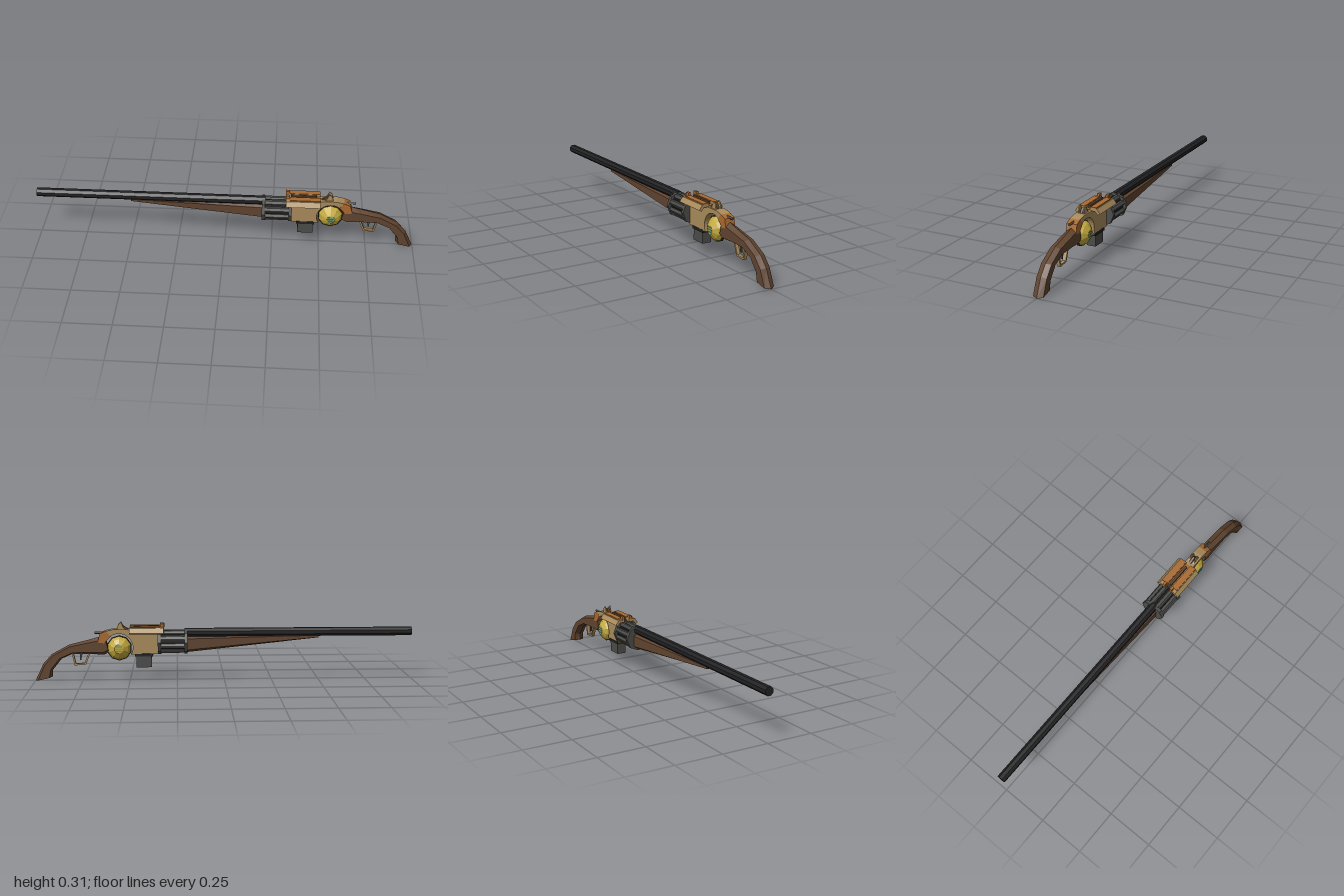
import * as THREE from 'three';

const mat = (name, color) => {
  const m = new THREE.MeshStandardMaterial({ color, flatShading: true });
  m.name = name;
  return m;
};

export function createModel() {
  const model = new THREE.Group();
  model.name = 'rifle';
  const black = mat('blackSteel', 0x222224);
  const gray = mat('gunmetal', 0x4c4c4a);
  const tan = mat('tanMetal', 0xa98b5c);
  const wood = mat('brownWood', 0x60442f);
  const rust = mat('rust', 0xaa6a30);
  const dark = mat('darkBrown', 0x3e2d20);
  const yellow = mat('yellowGlass', 0xc2a93e);
  const teal = mat('teal', 0x3fa39c);

  const add = (name, geo, material, x = 0, y = 0, z = 0) => {
    const m = new THREE.Mesh(geo, material);
    m.name = name;
    m.position.set(x, y, z);
    model.add(m);
    return m;
  };
  const box = (name, material, x0, x1, y0, y1, z0, z1) =>
    add(name, new THREE.BoxGeometry(x1 - x0, y1 - y0, z1 - z0), material,
      (x0 + x1) / 2, (y0 + y1) / 2, (z0 + z1) / 2);
  // Prism lying along x; turn rotates its sides
  const rod = (name, material, x0, x1, r, y, z = 0, sides = 8, turn = 0) =>
    add(name, new THREE.CylinderGeometry(r, r, x1 - x0, sides).rotateY(turn).rotateZ(Math.PI / 2),
      material, (x0 + x1) / 2, y, z);
  const shapeOf = pts => new THREE.Shape(pts.map(p => new THREE.Vector2(...p)));
  // Side profile in x, y given a thickness centred on z
  const slab = (name, material, shape, depth, z = 0) =>
    add(name, new THREE.ExtrudeGeometry(shape, { depth, bevelEnabled: false, curveSegments: 8 }),
      material, 0, 0, z - depth / 2);

  // Ridged wooden body: each station is [topX, topY, bottomX, bottomY, halfWidth]
  const loft = (name, material, stations) => {
    const rings = stations.map(([tx, ty, bx, by, w]) =>
      [[0, 0], [0.17, w], [0.83, w], [1, 0], [0.83, -w], [0.17, -w]].map(([t, z]) =>
        [tx + (bx - tx) * t, ty + (by - ty) * t, z]));
    const pos = [];
    const tri = (...v) => v.forEach(p => pos.push(...p));
    for (let i = 0; i < rings.length - 1; i++) {
      for (let j = 0; j < 6; j++) {
        const k = (j + 1) % 6;
        const a = rings[i], b = rings[i + 1];
        tri(a[j], a[k], b[k]);
        tri(a[j], b[k], b[j]);
      }
    }
    const first = rings[0], last = rings[rings.length - 1];
    for (let j = 1; j < 5; j++) {
      tri(first[0], first[j + 1], first[j]);
      tri(last[0], last[j], last[j + 1]);
    }
    const g = new THREE.BufferGeometry();
    g.setAttribute('position', new THREE.Float32BufferAttribute(pos, 3));
    g.computeVertexNormals();
    return add(name, g, material);
  };

  // Long barrel and tapering fore-end
  rod('barrel', black, -1, 0.21, 0.0238, 0.252, 0, 8, Math.PI / 8);
  loft('foreEnd', wood, [
    [-0.5, 0.236, -0.5, 0.22, 0.012],
    [0.2, 0.235, 0.2, 0.146, 0.026],
  ]);

  // Revolving drum: two flanges, a core and eight chambers
  rod('drumFrontFlange', gray, 0.195, 0.212, 0.068, 0.205);
  rod('drumRearFlange', gray, 0.335, 0.352, 0.068, 0.205);
  rod('drumCore', black, 0.21, 0.337, 0.052, 0.205);
  for (let i = 0; i < 8; i++) {
    const a = (i + 0.5) * Math.PI / 4;
    rod('drumChamber', gray, 0.21, 0.337, 0.015, 0.205 + Math.sin(a) * 0.049, Math.cos(a) * 0.049, 6);
  }

  // Receiver with an arch that curves over the orb
  const frame = new THREE.Shape();
  frame.moveTo(0.35, 0.14);
  frame.lineTo(0.495, 0.14);
  frame.absarc(0.557, 0.176, 0.074, Math.PI + 0.5, 0.95, true);
  frame.lineTo(0.625, 0.264);
  frame.lineTo(0.585, 0.273);
  frame.lineTo(0.35, 0.268);
  slab('receiver', tan, frame, 0.054);
  slab('rearArch', rust, shapeOf([[0.6, 0.236], [0.622, 0.212], [0.635, 0.2], [0.668, 0.205],
    [0.658, 0.25], [0.625, 0.264]]), 0.055);
  box('receiverTopPlate', rust, 0.345, 0.5, 0.267, 0.274, -0.018, 0.018);
  box('centreRail', wood, 0.345, 0.48, 0.272, 0.29, -0.006, 0.006);

  // Winged top cover, mirrored left and right
  const wing = [[0.014, 0.268], [0.042, 0.268], [0.056, 0.25], [0.069, 0.257], [0.052, 0.282], [0.014, 0.286]];
  for (const s of [-1, 1]) {
    const pts = wing.map(([z, y]) => [-z * s, y]);
    const g = new THREE.ExtrudeGeometry(shapeOf(pts), { depth: 0.18, bevelEnabled: false });
    add('topCoverWing', g.rotateY(Math.PI / 2), tan, 0.32, 0, 0);
    box('topCoverPanel', rust, 0.34, 0.5, 0.282, 0.288, s > 0 ? 0.016 : -0.048, s > 0 ? 0.048 : -0.016);
    box('frontLug', rust, 0.318, 0.34, 0.28, 0.302, s > 0 ? 0.016 : -0.03, s > 0 ? 0.03 : -0.016);
    slab('sightFin', tan, shapeOf([[0.505, 0.262], [0.57, 0.262], [0.56, 0.298], [0.545, 0.31], [0.532, 0.28]]),
      0.006, s * 0.014);
  }
  slab('hammer', wood, shapeOf([[0.49, 0.265], [0.57, 0.265], [0.545, 0.3], [0.525, 0.285]]), 0.012);
  rod('chargingRod', gray, 0.58, 0.685, 0.007, 0.253, 0, 4);

  // Magazine with a lip
  box('magazine', gray, 0.385, 0.466, 0.07, 0.132, -0.025, 0.025);
  box('magazineLip', black, 0.378, 0.473, 0.128, 0.143, -0.029, 0.029);

  // Faceted orb: dark rim, yellow domes and teal stripes
  const turnOrb = pts => new THREE.LatheGeometry(pts.map(p => new THREE.Vector2(...p)), 10).rotateX(Math.PI / 2);
  add('orb', turnOrb([[0, -0.044], [0.024, -0.044], [0.05, -0.027], [0.063, -0.008],
    [0.063, 0.008], [0.05, 0.027], [0.024, 0.044], [0, 0.044]]), yellow, 0.556, 0.171, 0);
  add('orbRim', turnOrb([[0.058, -0.007], [0.067, -0.007], [0.067, 0.007], [0.058, 0.007]]), dark, 0.556, 0.171, 0);
  for (const s of [-1, 1]) {
    for (const dy of [-0.012, 0, 0.012]) {
      const w = dy ? 0.016 : 0.021;
      box('orbStripe', teal, 0.556 - w, 0.556 + w, 0.169 + dy, 0.173 + dy, s * 0.045 - 0.002, s * 0.045 + 0.002);
    }
  }

  // Curved stock ending in a pistol grip
  loft('stock', wood, [
    [0.632, 0.238, 0.61, 0.15, 0.026],
    [0.665, 0.23, 0.635, 0.135, 0.027],
    [0.72, 0.215, 0.71, 0.14, 0.027],
    [0.82, 0.19, 0.8, 0.142, 0.027],
    [0.912, 0.14, 0.86, 0.116, 0.027],
    [0.957, 0.09, 0.908, 0.056, 0.027],
    [1, 0, 0.91, 0.02, 0.027],
  ]);

  // Trigger guard loop and trigger
  const guard = shapeOf([[0.708, 0.148], [0.733, 0.084], [0.792, 0.08], [0.807, 0.148]]);
  guard.holes.push(new THREE.Path([[0.72, 0.142], [0.797, 0.142], [0.785, 0.089], [0.74, 0.092]]
    .map(p => new THREE.Vector2(...p))));
  slab('triggerGuard', tan, guard, 0.018);
  slab('trigger', gray, shapeOf([[0.75, 0.145], [0.758, 0.108], [0.764, 0.108], [0.765, 0.145]]), 0.008);

  return model;
}
